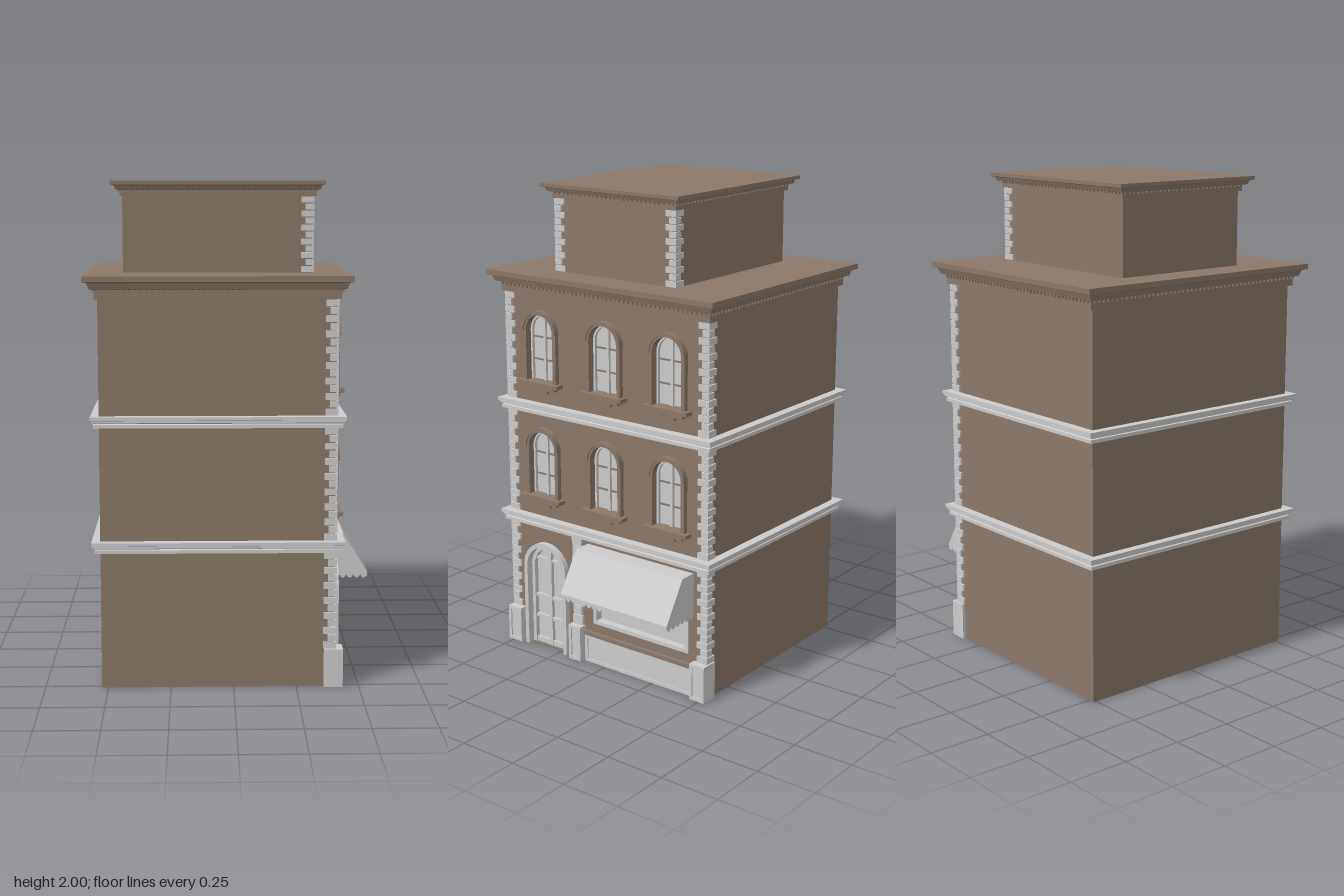
import * as THREE from 'three';

const grey = new THREE.MeshStandardMaterial({ color: 0xcccccc });
const greyThin = new THREE.MeshStandardMaterial({ color: 0xcccccc, side: THREE.DoubleSide });
const brown = new THREE.MeshStandardMaterial({ color: 0x8b7869 });
const brownThin = new THREE.MeshStandardMaterial({ color: 0x8b7869, side: THREE.DoubleSide });

function add(parent, name, geometry, material) {
  const mesh = new THREE.Mesh(geometry, material);
  mesh.name = name;
  parent.add(mesh);
  return mesh;
}

// Box given by its limits on each axis
function box(parent, name, mat, x0, x1, y0, y1, z0, z1) {
  const m = add(parent, name, new THREE.BoxGeometry(x1 - x0, y1 - y0, z1 - z0), mat);
  m.position.set((x0 + x1) / 2, (y0 + y1) / 2, (z0 + z1) / 2);
  return m;
}

// Flat-sided surface from quads, each with its corners counter-clockwise
function quads(list) {
  const pos = [];
  for (const [a, b, c, d] of list) pos.push(...a, ...b, ...c, ...a, ...c, ...d);
  const g = new THREE.BufferGeometry();
  g.setAttribute('position', new THREE.Float32BufferAttribute(pos, 3));
  g.computeVertexNormals();
  return g;
}

// Rectangular plan swept up a profile of [overhang, height]
function moulding([x0, x1, z0, z1], profile, openBottom = false) {
  const loops = profile.map(([o, y]) => [
    [x0 - o, y, z1 + o], [x1 + o, y, z1 + o], [x1 + o, y, z0 - o], [x0 - o, y, z0 - o]]);
  const list = [loops[loops.length - 1]];
  if (!openBottom) list.push([...loops[0]].reverse());
  for (let i = 0; i < loops.length - 1; i++)
    for (let k = 0; k < 4; k++) {
      const n = (k + 1) % 4;
      list.push([loops[i][k], loops[i][n], loops[i + 1][n], loops[i + 1][k]]);
    }
  return quads(list);
}

function extrude(shape, d0, d1) {
  return new THREE.ExtrudeGeometry(shape, { depth: d1 - d0, bevelEnabled: false, curveSegments: 20 })
    .translate(0, 0, d0);
}

// Round-headed outline
function arch(path, u, y0, ys, r) {
  path.moveTo(u - r, y0).lineTo(u + r, y0).lineTo(u + r, ys);
  path.absarc(u, ys, r, 0, Math.PI, false);
  path.lineTo(u - r, y0);
  return path;
}

// Round-headed surround, open at the bottom
function archBand(u, y0, ys, R, r) {
  const s = new THREE.Shape();
  s.moveTo(u + R, y0).lineTo(u + R, ys);
  s.absarc(u, ys, R, 0, Math.PI, false);
  s.lineTo(u - R, y0).lineTo(u - r, y0).lineTo(u - r, ys);
  s.absarc(u, ys, r, Math.PI, 0, true);
  s.lineTo(u + r, y0);
  return s;
}

function rect(path, u0, u1, y0, y1) {
  return path.moveTo(u0, y0).lineTo(u1, y0).lineTo(u1, y1).lineTo(u0, y1).lineTo(u0, y0);
}

function rectFrame(u0, u1, y0, y1, w) {
  const s = rect(new THREE.Shape(), u0, u1, y0, y1);
  s.holes.push(rect(new THREE.Path(), u0 + w, u1 - w, y0 + w, y1 - w));
  return s;
}

// Row of rounded scallops along the current path, from a to b
function scallops(s, a, b, y, depth, n) {
  for (let i = 0; i < n; i++) {
    const p = a + (b - a) * i / n, q = a + (b - a) * (i + 1) / n;
    s.quadraticCurveTo((p + q) / 2, y - depth * 2, q, y);
  }
}

// Alternating long and short corner stones; sx, sz point away from the building
function quoins(parent, x, z, sz, y0, y1, n) {
  const h = (y1 - y0) / n, out = 0.008;
  for (let i = 0; i < n; i++) {
    const len = i % 2 ? 0.026 : 0.043;
    const zs = [z + sz * out, z - sz * len].sort((a, b) => a - b);
    box(parent, 'quoin', grey, x - len, x + out, y0 + i * h + 0.002, y0 + (i + 1) * h - 0.002, zs[0], zs[1]);
  }
}

// Projecting cornice with a row of dentils under its lip
function cornice(parent, name, plan, y, h, o) {
  add(parent, name, moulding(plan, [[0, y], [0.22 * o, y], [0.22 * o, y + 0.4 * h], [0.55 * o, y + 0.45 * h],
    [0.68 * o, y + 0.7 * h], [o, y + 0.76 * h], [o, y + h]]), brown);
  const [x0, x1, z0, z1] = plan, e = 0.22 * o, t = 0.008;
  for (let x = x0; x < x1; x += 0.022)
    for (const [a, b] of [[z0 - e - t, z0 - e], [z1 + e, z1 + e + t]])
      box(parent, 'dentil', brown, x, x + 0.011, y + 0.3 * h, y + 0.46 * h, a, b);
  for (let z = z0; z < z1; z += 0.022)
    for (const [a, b] of [[x0 - e - t, x0 - e], [x1 + e, x1 + e + t]])
      box(parent, 'dentil', brown, a, b, y + 0.3 * h, y + 0.46 * h, z, z + 0.011);
}

// In facade space x runs along the wall, y is up and z points outwards
function windowUnit(f, u, sill) {
  const g = new THREE.Group();
  g.name = 'window';
  f.add(g);
  const ys = sill + 0.208;
  add(g, 'glass', new THREE.ShapeGeometry(arch(new THREE.Shape(), u, sill, ys, 0.073), 20), grey).position.z = 0.375;
  add(g, 'sash', extrude(archBand(u, sill, ys, 0.073, 0.064), 0.375, 0.388), grey);
  add(g, 'surround', extrude(archBand(u, sill, ys, 0.088, 0.071), 0.39, 0.42), brown);
  add(g, 'hood', extrude(archBand(u, ys, ys, 0.09, 0.081), 0.4, 0.426), brown);
  box(g, 'mullion', grey, u - 0.006, u + 0.006, sill, ys + 0.068, 0.375, 0.386);
  for (const dy of [0.085, 0.18]) box(g, 'glazingBar', brown, u - 0.064, u + 0.064, sill + dy - 0.003, sill + dy + 0.003, 0.375, 0.382);
  box(g, 'sill', brown, u - 0.108, u + 0.108, sill - 0.016, sill, 0.37, 0.438);
  box(g, 'sillBed', brown, u - 0.08, u + 0.08, sill - 0.032, sill - 0.016, 0.39, 0.426);
  box(g, 'sillBracket', brown, u - 0.035, u + 0.035, sill - 0.048, sill - 0.032, 0.39, 0.415);
}

function pedestal(f, u0, u1, d0) {
  box(f, 'pedestal', grey, u0, u1, 0, 0.155, d0, 0.43);
  add(f, 'pedestalPanel', extrude(rectFrame(u0, u1, 0, 0.155, 0.014), 0.43, 0.436), grey);
}

function door(f, u) {
  const g = new THREE.Group();
  g.name = 'door';
  f.add(g);
  add(g, 'doorGlass', new THREE.ShapeGeometry(arch(new THREE.Shape(), u, 0.004, 0.363, 0.1), 20), grey).position.z = 0.375;
  add(g, 'doorSurround', extrude(archBand(u, 0, 0.363, 0.117, 0.098), 0.38, 0.425), grey);
  add(g, 'doorFrame', extrude(archBand(u, 0, 0.363, 0.098, 0.082), 0.375, 0.395), grey);
  box(g, 'doorMullion', grey, u - 0.009, u + 0.009, 0.004, 0.45, 0.375, 0.391);
  for (const [y, h] of [[0.004, 0.022], [0.12, 0.014], [0.215, 0.014], [0.39, 0.01]])
    box(g, 'doorRail', grey, u - 0.085, u + 0.085, y, y + h, 0.375, 0.389);
}

function awning(f, u0, u1) {
  const g = new THREE.Group();
  g.name = 'awning';
  f.add(g);
  const top = 0.528, low = 0.362, hem = 0.35, w = 0.4, k = 0.475, d = 0.577;
  add(g, 'canopy', quads([
    [[u0, top, k], [u1, top, k], [u1, top, w], [u0, top, w]],
    [[u0, low, d], [u1, low, d], [u1, top, k], [u0, top, k]]]), greyThin);
  const front = new THREE.Shape().moveTo(u1, low).lineTo(u0, low).lineTo(u0, hem);
  scallops(front, u0, u1, hem, 0.014, 20);
  add(g, 'valance', new THREE.ShapeGeometry(front, 6), greyThin).position.z = d;
  const side = new THREE.Shape().moveTo(d, low).lineTo(k, top).lineTo(w, top).lineTo(w, hem);
  scallops(side, w, d, hem, 0.014, 6);
  for (const u of [u0, u1])
    add(g, 'awningSide', new THREE.ShapeGeometry(side, 6).rotateY(-Math.PI / 2), greyThin).position.x = u;
}

export function createModel() {
  const model = new THREE.Group();
  model.name = 'townhouse';

  // Hollow ground floor, solid upper floors and roof storey
  const core = [-0.525, 0.365, -0.515, 0.515], plan = [-0.525, 0.405, -0.518, 0.518];
  add(model, 'groundFloor', moulding(core, [[0, 0], [0, 0.57]], true), brownThin);
  add(model, 'upperFloors', moulding(core, [[0, 0.575], [0, 1.56]]), brown);
  const attic = [-0.435, 0.315, -0.292, 0.308];
  add(model, 'roofStorey', moulding(attic, [[0, 1.63], [0, 1.95]]), brown);
  cornice(model, 'mainCornice', plan, 1.55, 0.09, 0.056);
  cornice(model, 'roofCornice', [-0.435, 0.32, -0.295, 0.31], 1.94, 0.06, 0.046);

  // String courses
  for (const y of [0.552, 1.05])
    add(model, 'stringCourse', moulding(plan, [[0, y], [0.022, y], [0.022, y + 0.014], [0.016, y + 0.017],
      [0.028, y + 0.022], [0.028, y + 0.03], [0.034, y + 0.032], [0.034, y + 0.045], [0, y + 0.045]]), grey);

  // Corner stones
  for (const s of [-1, 1]) {
    quoins(model, 0.4, s * 0.515, s, 0.155, 0.552, 13);
    quoins(model, 0.4, s * 0.515, s, 0.597, 1.05, 15);
    quoins(model, 0.4, s * 0.515, s, 1.095, 1.55, 15);
    quoins(model, 0.315, s > 0 ? 0.308 : -0.292, s, 1.64, 1.94, 11);
  }

  // Facade on the +x side
  const f = new THREE.Group();
  f.name = 'facade';
  f.rotation.y = Math.PI / 2;
  model.add(f);
  const wall = rect(new THREE.Shape(), -0.515, 0.515, 0, 1.555);
  for (const sill of [0.692, 1.19])
    for (const u of [-0.328, 0.008, 0.328]) {
      wall.holes.push(arch(new THREE.Path(), u, sill, sill + 0.208, 0.073));
      windowUnit(f, u, sill);
    }
  wall.holes.push(arch(new THREE.Path(), -0.322, 0.004, 0.363, 0.1));
  wall.holes.push(rect(new THREE.Path(), -0.062, 0.424, 0.184, 0.5));
  add(f, 'facadeWall', extrude(wall, 0.365, 0.4), brown);
  door(f, -0.322);

  // Shop window and panelled stall riser
  box(f, 'shopGlass', grey, -0.062, 0.424, 0.184, 0.5, 0.366, 0.375);
  add(f, 'shopFrame', extrude(rectFrame(-0.066, 0.428, 0.18, 0.504, 0.016), 0.37, 0.408), grey);
  box(f, 'stallRiser', grey, -0.115, 0.455, 0, 0.122, 0.39, 0.408);
  add(f, 'stallPanel', extrude(rectFrame(-0.11, 0.455, 0, 0.122, 0.014), 0.408, 0.413), grey);
  box(f, 'stallCap', brown, -0.115, 0.455, 0.122, 0.138, 0.39, 0.418);
  awning(f, -0.097, 0.45);

  // Pedestals and the pilaster between door and shop
  pedestal(f, -0.528, -0.455, 0.36);
  pedestal(f, 0.455, 0.528, 0.36);
  pedestal(f, -0.182, -0.118, 0.39);
  for (let i = 0; i < 9; i++) {
    const y = 0.155 + i * 0.0442, w = i % 2 ? 0.022 : 0.026;
    box(f, 'pilasterStone', grey, -0.15 - w, -0.15 + w, y + 0.002, y + 0.042, 0.39, 0.412);
  }
  return model;
}
